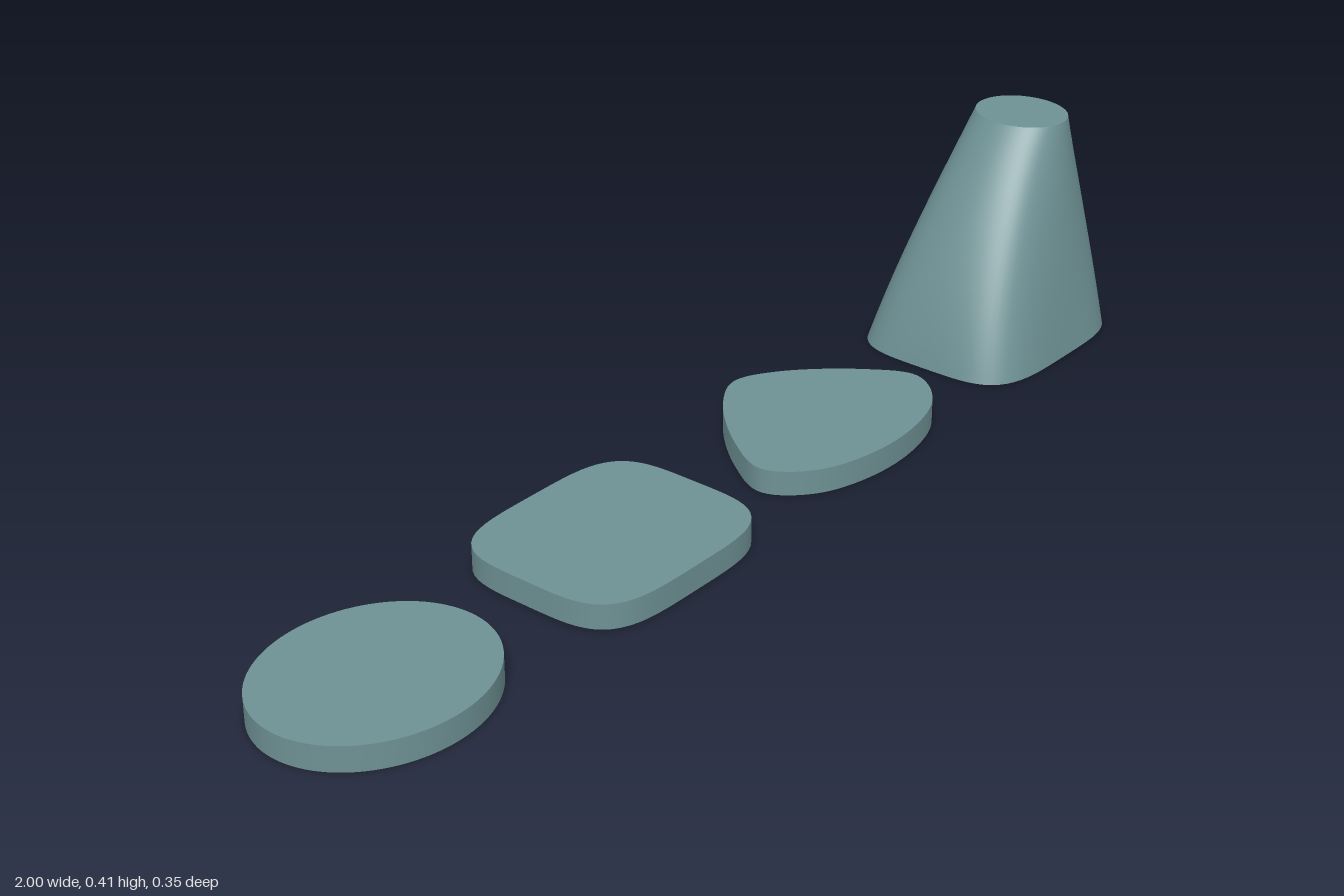
import * as THREE from 'three';

const SEG = 96;

// Closed loft: section(t, u) gives [x, z] at height fraction t, loop fraction u
function loft(section, height, rows) {
  const pos = [], index = [];
  for (let j = 0; j <= rows; j++) {
    for (let i = 0; i <= SEG; i++) {
      const [x, z] = section(j / rows, (i % SEG) / SEG);
      pos.push(x, (height * j) / rows, z);
    }
  }
  const w = SEG + 1;
  for (let j = 0; j < rows; j++) {
    for (let i = 0; i < SEG; i++) {
      const a = j * w + i;
      index.push(a, a + w, a + 1, a + 1, a + w, a + w + 1);
    }
  }
  // flat end caps with their own vertices
  for (const t of [0, 1]) {
    const c = pos.length / 3;
    let sx = 0, sz = 0;
    const ring = [];
    for (let i = 0; i < SEG; i++) {
      const [x, z] = section(t, i / SEG);
      ring.push(x, height * t, z);
      sx += x / SEG;
      sz += z / SEG;
    }
    pos.push(sx, height * t, sz, ...ring);
    for (let i = 0; i < SEG; i++) {
      const p = c + 1 + i, q = c + 1 + ((i + 1) % SEG);
      if (t) index.push(c, q, p);
      else index.push(c, p, q);
    }
  }
  const g = new THREE.BufferGeometry();
  g.setAttribute('position', new THREE.Float32BufferAttribute(pos, 3));
  g.setIndex(index);
  g.computeVertexNormals();
  // match normals across the seam
  const n = g.attributes.normal;
  for (let j = 0; j <= rows; j++) {
    const a = j * w, b = a + SEG;
    const v = new THREE.Vector3().fromBufferAttribute(n, a)
      .add(new THREE.Vector3().fromBufferAttribute(n, b)).normalize();
    n.setXYZ(a, v.x, v.y, v.z);
    n.setXYZ(b, v.x, v.y, v.z);
  }
  return g;
}

// Superellipse outline: power 2 is an ellipse, power 4 a rounded square
function outline(u, rx, rz, power) {
  const c = Math.cos(u * 2 * Math.PI), s = Math.sin(u * 2 * Math.PI);
  const r = (Math.abs(c) ** power + Math.abs(s) ** power) ** (-1 / power);
  return [c * r * rx, s * r * rz];
}

export function createModel() {
  const group = new THREE.Group();
  const teal = new THREE.MeshStandardMaterial({ color: 0x6e9194 });
  teal.name = 'greyTeal';
  const add = (name, geometry, x) => {
    const mesh = new THREE.Mesh(geometry, teal);
    mesh.name = name;
    mesh.position.x = x;
    group.add(mesh);
  };
  const thick = 0.045;

  // Flat plates
  add('ellipsePlate', loft((t, u) => outline(u, 0.205, 0.175, 2), thick, 1), -0.795);
  add('roundedSquarePlate', loft((t, u) => outline(u, 0.205, 0.175, 4), thick, 1), -0.265);

  // Rounded triangle from a mirrored spline
  const half = [[0.222, 0.06], [0.16, 0.138], [0, 0.175]];
  const back = [[0.18, -0.03], [0.075, -0.142], [0, -0.177]];
  const flip = ([x, z]) => [-x, z];
  const loop = [...half, flip(half[1]), flip(half[0]), flip(back[0]), flip(back[1]), back[2], back[1], back[0]];
  const spline = new THREE.CatmullRomCurve3(loop.map(([x, z]) => new THREE.Vector3(x, 0, z)), true);
  add('roundedTrianglePlate', loft((t, u) => {
    const p = spline.getPoint(u);
    return [p.x, p.z];
  }, thick, 1), 0.265);

  // Leaning transition from rounded square base to small ellipse top
  add('transitionDuct', loft((t, u) => {
    const left = -0.205 + 0.1 * t + 0.115 * t * t;
    const right = 0.205 - 0.045 * t * t;
    const rz = 0.175 - 0.07 * t - 0.017 * t * t;
    const rx = (right - left) / 2;
    const a = outline(u, rx, rz, 4), b = outline(u, rx, rz, 2);
    return [(left + right) / 2 + a[0] + (b[0] - a[0]) * t, a[1] + (b[1] - a[1]) * t];
  }, 0.412, 28), 0.795);

  return group;
}
